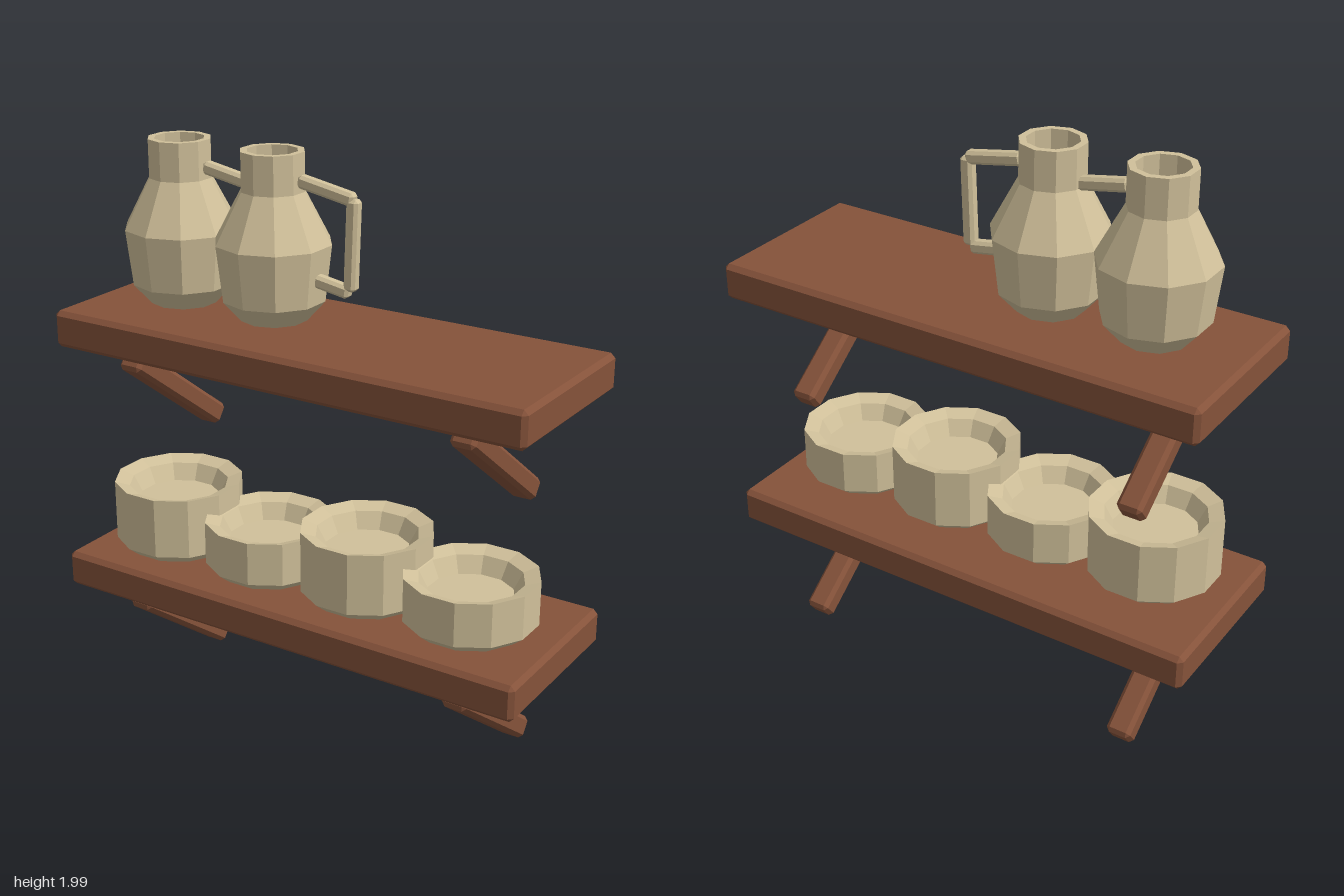
import * as THREE from 'three';
import { ConvexGeometry } from 'three/addons/geometries/ConvexGeometry.js';

const wood = new THREE.MeshStandardMaterial({ color: 0x85523a });
wood.name = 'brown wood';
const clay = new THREE.MeshStandardMaterial({ color: 0xd0c09a });
clay.name = 'cream clay';

function mesh(name, geometry, material, x = 0, y = 0, z = 0) {
  const m = new THREE.Mesh(geometry, material);
  m.name = name;
  m.position.set(x, y, z);
  return m;
}

// Box with every edge cut by a single chamfer
function chamferBox(w, h, d, c) {
  const points = [];
  for (const sx of [-1, 1]) for (const sy of [-1, 1]) for (const sz of [-1, 1]) {
    const x = w / 2, y = h / 2, z = d / 2;
    points.push(
      new THREE.Vector3(sx * x, sy * (y - c), sz * (z - c)),
      new THREE.Vector3(sx * (x - c), sy * y, sz * (z - c)),
      new THREE.Vector3(sx * (x - c), sy * (y - c), sz * z)
    );
  }
  return new ConvexGeometry(points);
}

// Faceted turned body; the profile runs from the base up and back inside
function turned(profile, sides, start = 0) {
  const points = profile.map(([r, y]) => new THREE.Vector2(r, y));
  const g = new THREE.LatheGeometry(points, sides, start).toNonIndexed();
  g.computeVertexNormals();
  return g;
}

// Straight handle piece between two points in the xy plane
function bar(name, x1, y1, x2, y2) {
  const length = Math.hypot(x2 - x1, y2 - y1);
  const m = mesh(name, chamferBox(length, 0.043, 0.043, 0.01), clay, (x1 + x2) / 2, (y1 + y2) / 2);
  m.rotation.z = Math.atan2(y2 - y1, x2 - x1);
  return m;
}

function createShelf(y) {
  const shelf = new THREE.Group();
  shelf.name = 'shelf';
  shelf.position.y = y;
  shelf.add(mesh('board', chamferBox(1.78, 0.128, 0.636, 0.016), wood, 0, 0.464, 0));
  // Slanting brackets under the board
  for (const x of [-0.64, 0.64]) {
    const bracket = mesh('bracket', chamferBox(0.09, 0.078, 0.565, 0.014), wood, x, 0.204, -0.008);
    bracket.rotation.x = -0.64;
    shelf.add(bracket);
  }
  return shelf;
}

function createJug(x) {
  const jug = new THREE.Group();
  jug.name = 'jug';
  jug.position.set(x, 1.44, 0);
  jug.add(mesh('jugBody', turned([
    [0, 0], [0.114, 0], [0.176, 0.07], [0.198, 0.26], [0.108, 0.43], [0.108, 0.56],
    [0.085, 0.56], [0.085, 0.06], [0, 0.06]
  ], 10), clay));
  jug.add(
    bar('handleTop', 0.105, 0.474, 0.312, 0.436),
    bar('handleGrip', 0.31, 0.44, 0.3, 0.14),
    bar('handleBottom', 0.13, 0.162, 0.297, 0.134)
  );
  return jug;
}

function createBowl(x, height) {
  const profile = [
    [0, 0], [0.185, 0], [0.228, 0.035], [0.228, height],
    [0.176, height - 0.018], [0.145, height - 0.075], [0, height - 0.075]
  ];
  return mesh('bowl', turned(profile, 12, Math.PI / 12), clay, x, 0.54, 0.04);
}

export function createModel() {
  const model = new THREE.Group();
  model.name = 'wallShelves';
  model.add(createShelf(0), createShelf(0.902));
  // Tall and low bowls alternate along the lower shelf
  for (let i = 0; i < 4; i++) model.add(createBowl(-0.595 + i * 0.395, i % 2 ? 0.188 : 0.25));
  for (const x of [-0.574, -0.2]) model.add(createJug(x));
  return model;
}
